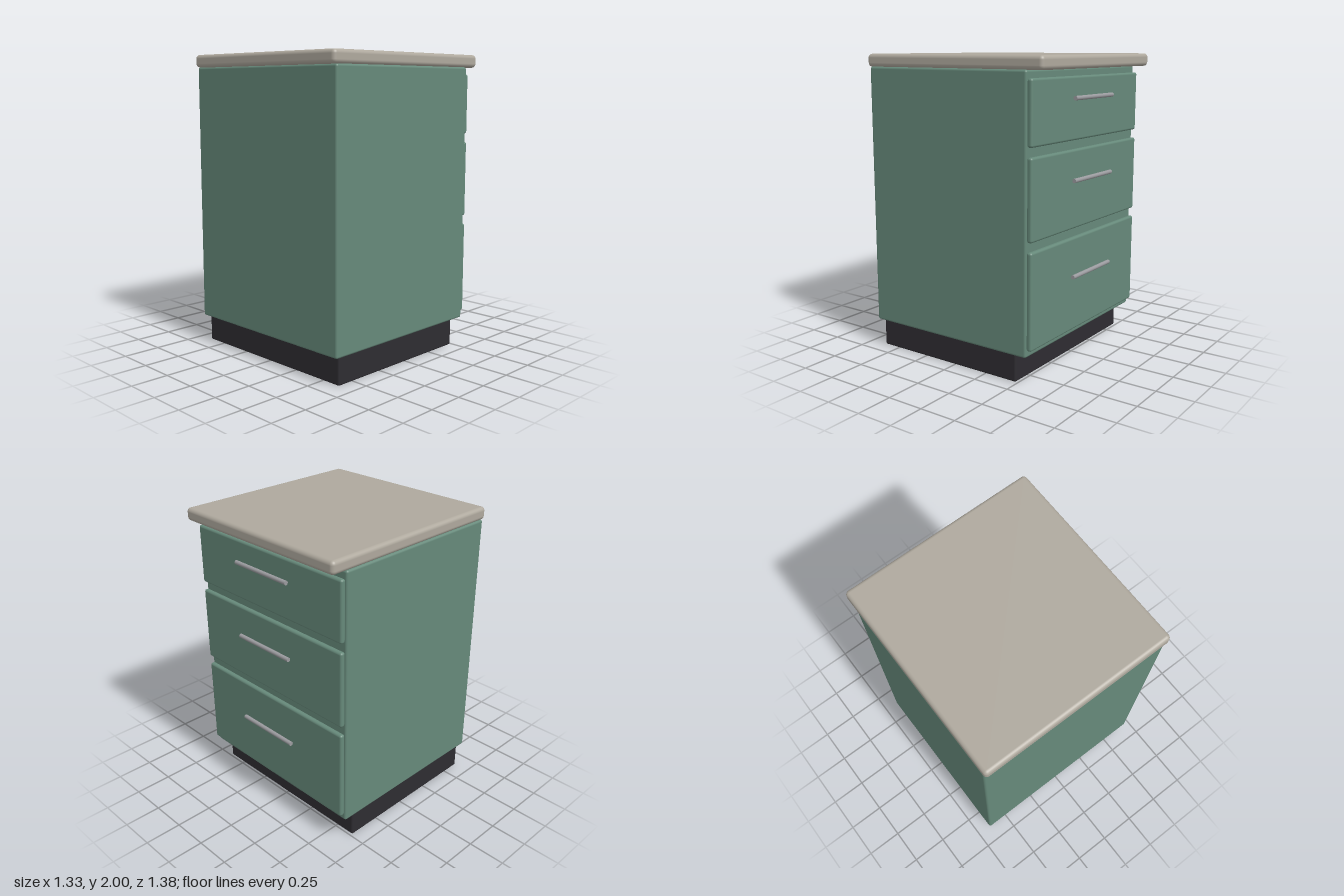
import * as THREE from 'three';
import { RoundedBoxGeometry } from 'three/addons/geometries/RoundedBoxGeometry.js';

const paint = (color) => new THREE.MeshStandardMaterial({ color });

// Rounded box given by its extents: half width, y range and z range.
function slab(name, halfWidth, [y0, y1], [z0, z1], radius, material) {
  const geometry = new RoundedBoxGeometry(halfWidth * 2, y1 - y0, z1 - z0, 4, radius);
  const mesh = new THREE.Mesh(geometry, material);
  mesh.name = name;
  mesh.position.set(0, (y0 + y1) / 2, (z0 + z1) / 2);
  return mesh;
}

export function createModel() {
  const model = new THREE.Group();
  model.name = 'drawerCabinet';
  const green = paint(0x66897a);
  const stone = paint(0xaea89d);
  const dark = paint(0x2e2c31);
  const metal = paint(0x9a9a9e);

  // Recessed plinth, carcass and overhanging worktop
  model.add(
    slab('plinth', 0.642, [0, 0.188], [-0.487, 0.625], 0.013, dark),
    slab('carcass', 0.665, [0.183, 1.917], [-0.575, 0.667], 0.015, green),
    slab('worktop', 0.667, [1.915, 2], [-0.688, 0.688], 0.026, stone)
  );

  // Three drawers on the -z side: bottom, top and handle height
  const drawers = [
    ['topDrawer', 1.471, 1.869, 1.737],
    ['middleDrawer', 0.905, 1.414, 1.226],
    ['bottomDrawer', 0.228, 0.847, 0.604],
  ];
  for (const [name, y0, y1, handleY] of drawers) {
    const drawer = new THREE.Group();
    drawer.name = name;
    drawer.add(slab('drawerFront', 0.655, [y0, y1], [-0.609, -0.572], 0.015, green));

    // Straight bar handle standing clear of the front
    const handle = new THREE.Mesh(new THREE.CylinderGeometry(0.014, 0.014, 0.466, 16), metal);
    handle.name = 'handle';
    handle.rotation.z = Math.PI / 2;
    handle.position.set(0, handleY, -0.643);
    drawer.add(handle);
    model.add(drawer);
  }
  return model;
}
